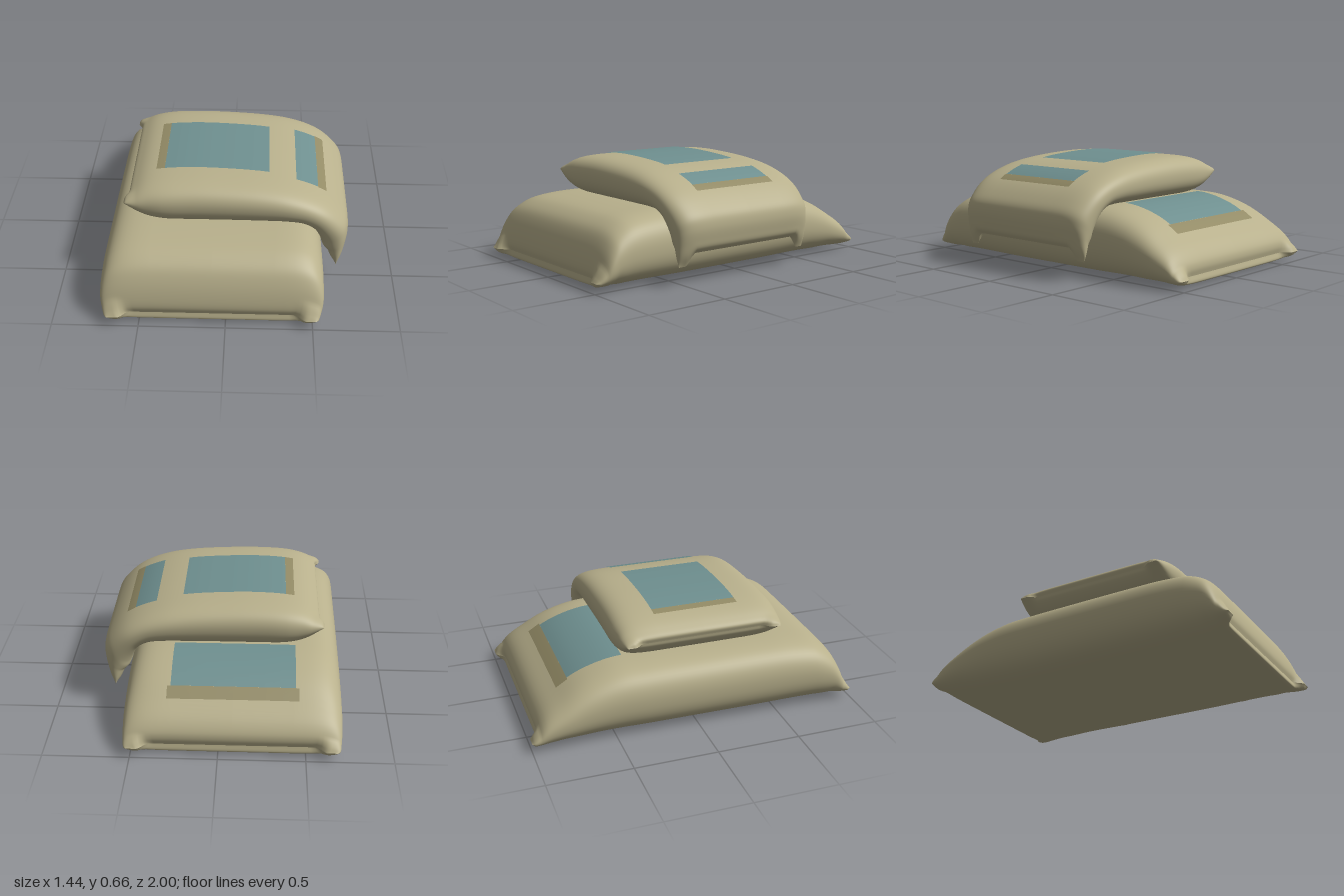
import * as THREE from 'three';

const SACK = new THREE.MeshStandardMaterial({ color: 0xb8b08c });
const BLUE = new THREE.MeshStandardMaterial({ color: 0x6f9090 });
const BROWN = new THREE.MeshStandardMaterial({ color: 0x938b66 });

const spow = (v, p) => Math.sign(v) * Math.abs(v) ** p;
const N = 8, M = 2.2; // squareness of the section across and in height

// A sack surface: rows are [topX, topY, bottomX, bottomY, halfWidth] along x.
function sackSurface(rows, earStart, earEnd) {
  const top = new THREE.CatmullRomCurve3(rows.map(r => new THREE.Vector3(r[0], r[1], r[4])), false, 'centripetal');
  const bottom = new THREE.CatmullRomCurve3(rows.map(r => new THREE.Vector3(r[2], r[3], 0)), false, 'centripetal');
  const last = rows.length - 1;
  const at = (s, u, t) => {
    const a = top.getPoint(s), b = bottom.getPoint(s), k = (t + 1) / 2;
    const p = new THREE.Vector3(b.x + (a.x - b.x) * k, b.y + (a.y - b.y) * k, u * a.z);
    // Pull the corners of both end seams out into ears
    const ear = THREE.MathUtils.smoothstep(Math.abs(u), 0.79, 0.9);
    const w0 = Math.max(0, 1 - s * last / 2), w1 = Math.max(0, 1 - (1 - s) * last / 2);
    p.x += ear * (w0 * earStart[0] + w1 * earEnd[0]);
    p.y += ear * (w0 * earStart[1] + w1 * earEnd[1]);
    return p;
  };
  return { at, top };
}

// Grid of (ni + 1) x (nj + 1) points with two triangles per cell
function gridGeometry(ni, nj, point, wrap) {
  const pos = [], idx = [], cols = wrap ? nj : nj + 1;
  for (let i = 0; i <= ni; i++)
    for (let j = 0; j < cols; j++) pos.push(...point(i / ni, j / nj).toArray());
  for (let i = 0; i < ni; i++)
    for (let j = 0; j < nj; j++) {
      const k = (j + 1) % cols;
      const a = i * cols + j, b = (i + 1) * cols + j, c = (i + 1) * cols + k, d = i * cols + k;
      idx.push(a, b, c, a, c, d);
    }
  const g = new THREE.BufferGeometry();
  g.setAttribute('position', new THREE.Float32BufferAttribute(pos, 3));
  g.setIndex(idx);
  g.computeVertexNormals();
  return g;
}

function sackMesh(surface, name) {
  const g = gridGeometry(84, 64, (s, f) => {
    const a = f * Math.PI * 2;
    return surface.at(s, spow(Math.cos(a), 2 / N), spow(Math.sin(a), 2 / M));
  }, true);
  const mesh = new THREE.Mesh(g, SACK);
  mesh.name = name;
  return mesh;
}

// Printed panel lying on the top of a sack, between x0..x1 and z0..z1
function panel(surface, x0, x1, z0, z1, material, name) {
  const findS = x => {
    let lo = 0.05, hi = 0.8;
    for (let i = 0; i < 30; i++) {
      const mid = (lo + hi) / 2;
      if (surface.top.getPoint(mid).x < x) lo = mid; else hi = mid;
    }
    return lo;
  };
  const g = gridGeometry(12, 8, (f, h) => {
    const s = findS(x0 + (x1 - x0) * f);
    const u = (z1 + (z0 - z1) * h) / surface.top.getPoint(s).z;
    return surface.at(s, u, (1 - Math.abs(u) ** N) ** (1 / M));
  }, false);
  const p = g.attributes.position, n = g.attributes.normal;
  for (let i = 0; i < p.count; i++)
    p.setXYZ(i, p.getX(i) + n.getX(i) * 0.005, p.getY(i) + n.getY(i) * 0.005, p.getZ(i) + n.getZ(i) * 0.005);
  const mesh = new THREE.Mesh(g, material);
  mesh.name = name;
  return mesh;
}

export function createModel() {
  const model = new THREE.Group();
  model.name = 'stackedSacks';

  // Lower sack, lying front to back: [along, top, bottom, half width]
  const lowerRows = [
    [-0.945, 0.06, 0.06, 0.6], [-0.953, 0.1, 0.025, 0.615], [-0.945, 0.14, 0.015, 0.62],
    [-0.9, 0.2, 0.01, 0.625], [-0.8, 0.27, 0.01, 0.63], [-0.7, 0.33, 0.005, 0.63],
    [-0.6, 0.37, 0.005, 0.63], [-0.47, 0.4, 0.003, 0.63], [-0.3, 0.408, 0, 0.632],
    [0, 0.41, 0, 0.635], [0.4, 0.41, 0, 0.638], [0.6, 0.405, 0.003, 0.64],
    [0.75, 0.385, 0.005, 0.642], [0.82, 0.355, 0.005, 0.642], [0.87, 0.315, 0.01, 0.642],
    [0.91, 0.25, 0.01, 0.64], [0.94, 0.17, 0.015, 0.63], [0.953, 0.1, 0.025, 0.615],
    [0.945, 0.06, 0.06, 0.6],
  ].map(([a, t, b, w]) => [a, t, a, b, w]);
  const lower = sackSurface(lowerRows, [-0.055, 0], [0.055, 0]);
  const lowerGroup = new THREE.Group();
  lowerGroup.name = 'lowerSack';
  lowerGroup.add(
    sackMesh(lower, 'lowerSackBody'),
    panel(lower, -0.73, -0.4, -0.36, 0.36, BLUE, 'lowerBluePanel'),
    panel(lower, -0.8, -0.73, -0.38, 0.38, BROWN, 'lowerBrownStrip'),
  );
  lowerGroup.rotation.y = -Math.PI / 2;
  lowerGroup.position.x = -0.08;

  // Upper sack, lying crosswise and drooping over the left side
  const upper = sackSurface([
    [-0.575, 0.53, -0.575, 0.53, 0.47], [-0.58, 0.56, -0.57, 0.505, 0.48],
    [-0.54, 0.592, -0.53, 0.455, 0.495], [-0.48, 0.62, -0.47, 0.42, 0.505],
    [-0.38, 0.64, -0.38, 0.4, 0.515], [-0.2, 0.65, -0.2, 0.395, 0.515],
    [0, 0.645, 0, 0.395, 0.515], [0.2, 0.63, 0.2, 0.395, 0.515],
    [0.35, 0.605, 0.35, 0.395, 0.515], [0.48, 0.565, 0.44, 0.385, 0.512],
    [0.58, 0.515, 0.5, 0.35, 0.51], [0.66, 0.45, 0.53, 0.3, 0.505],
    [0.708, 0.39, 0.55, 0.25, 0.5], [0.72, 0.33, 0.56, 0.215, 0.495],
    [0.712, 0.26, 0.585, 0.195, 0.49], [0.7, 0.215, 0.62, 0.185, 0.485],
    [0.67, 0.185, 0.67, 0.185, 0.475],
  ], [-0.035, 0], [-0.02, -0.075]);
  const upperGroup = new THREE.Group();
  upperGroup.name = 'upperSack';
  upperGroup.add(
    sackMesh(upper, 'upperSackBody'),
    panel(upper, -0.38, 0.24, -0.26, 0.26, BLUE, 'upperBluePanel'),
    panel(upper, -0.43, -0.38, -0.26, 0.26, BROWN, 'upperBrownStrip'),
    panel(upper, 0.4, 0.53, -0.285, 0.285, BLUE, 'sideBluePanel'),
    panel(upper, 0.53, 0.58, -0.29, 0.29, BROWN, 'sideBrownStrip'),
  );
  upperGroup.position.z = 0.065;

  model.add(lowerGroup, upperGroup);
  return model;
}
